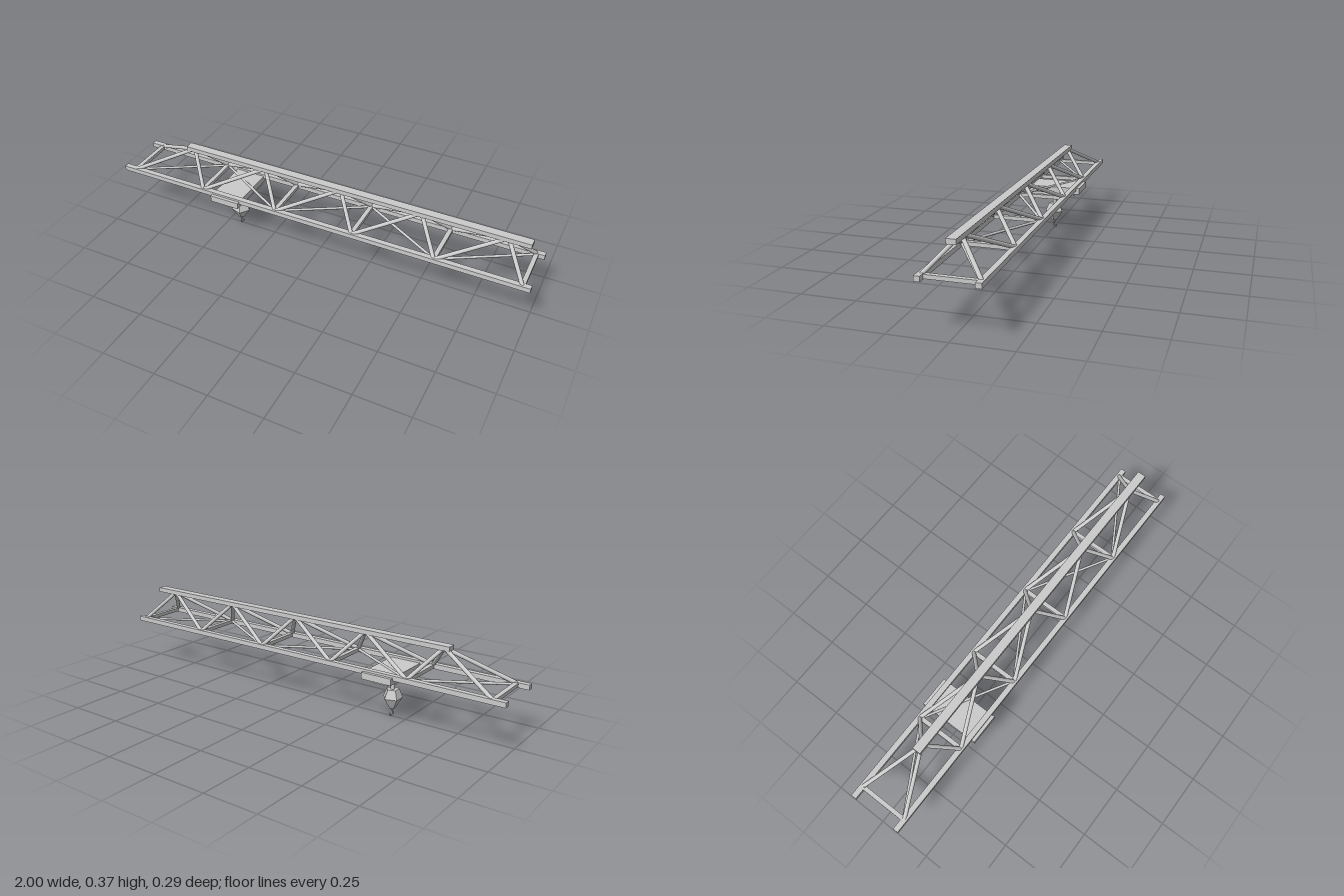
import * as THREE from 'three';

export function createModel() {
  const group = new THREE.Group();
  const smooth = new THREE.MeshStandardMaterial({ color: 0xcccccc });
  const flat = new THREE.MeshStandardMaterial({ color: 0xcccccc, flatShading: true });
  const V = (x, y, z) => new THREE.Vector3(x, y, z);
  const UP = V(0, 1, 0);

  function add(name, geometry, x = 0, y = 0, z = 0, material = flat) {
    const mesh = new THREE.Mesh(geometry, material);
    mesh.name = name;
    mesh.position.set(x, y, z);
    group.add(mesh);
    return mesh;
  }

  // Box given by its limits along each axis
  function box(name, x0, x1, y0, y1, z0, z1) {
    return add(name, new THREE.BoxGeometry(x1 - x0, y1 - y0, z1 - z0),
      (x0 + x1) / 2, (y0 + y1) / 2, (z0 + z1) / 2);
  }

  // Round bar between two points
  function bar(name, a, b, r) {
    const d = b.clone().sub(a);
    const mesh = add(name, new THREE.CylinderGeometry(r, r, d.length(), 16), 0, 0, 0, smooth);
    mesh.position.copy(a).add(b).multiplyScalar(0.5);
    mesh.quaternion.setFromUnitVectors(UP, d.normalize());
    return mesh;
  }

  // Three long chords of the triangular truss
  for (const s of [-1, 1]) {
    box(s > 0 ? 'frontLowerChord' : 'backLowerChord', -1, 1, 0.218, 0.24, s * 0.1155 - 0.0125, s * 0.1155 + 0.0125);
  }
  box('upperChord', -0.7, 0.957, 0.353, 0.374, -0.02, 0.02);

  // Cross members, side lattice and zigzag floor bracing
  const bays = 5, pitch = 0.381, start = -0.942;
  for (let i = 0; i <= bays; i++) {
    const x = start + i * pitch;
    box('crossMember', x - 0.01, x + 0.01, 0.221, 0.238, -0.108, 0.108);
    if (i === bays) break;
    const top = V(x + 0.275, 0.361, 0);
    for (const s of [-1, 1]) {
      bar('longStrut', V(x, 0.232, s * 0.115), top, 0.009);
      bar('shortStrut', top, V(x + pitch, 0.232, s * 0.115), 0.009);
    }
    const s = i % 2 ? -1 : 1;
    bar('floorBrace', V(x, 0.23, s * 0.11), V(x + pitch, 0.23, -s * 0.11), 0.006);
  }

  // Trolley running along the lower chords
  const tx = -0.432;
  box('trolleyPlate', tx - 0.072, tx + 0.072, 0.2, 0.23, -0.143, 0.143);
  box('trolleyBase', tx - 0.036, tx + 0.036, 0.18, 0.2, -0.107, 0.107);
  bar('hoistRope', V(tx, 0.12, 0), V(tx, 0.185, 0), 0.0095);

  // Faceted hook block, closed at both ends
  const profile = [[0, 0.038], [0.013, 0.038], [0.0455, 0.088], [0.029, 0.128], [0, 0.128]]
    .map(([r, y]) => new THREE.Vector2(r, y));
  add('hookBlock', new THREE.LatheGeometry(profile, 5, Math.PI / 2), tx, 0, 0);

  // Hook: short shank curling round and ending in an open tip
  const hook = new THREE.Group();
  hook.name = 'hook';
  const points = [V(0, 0.042, 0), V(0, 0.03, 0), V(-0.003, 0.023, 0)];
  for (let i = 0; i <= 6; i++) {
    const a = Math.PI * (0.85 + i * 0.2);
    points.push(V(0.003 + 0.0085 * Math.cos(a), 0.0125 + 0.0085 * Math.sin(a), 0));
  }
  const curve = new THREE.CatmullRomCurve3(points);
  hook.add(new THREE.Mesh(new THREE.TubeGeometry(curve, 40, 0.0035, 10), smooth));
  const tip = new THREE.Mesh(new THREE.SphereGeometry(0.0035, 10, 8), smooth);
  tip.position.copy(points[points.length - 1]);
  hook.add(tip);
  hook.children[0].name = 'hookCurve';
  hook.children[1].name = 'hookTip';
  hook.position.x = tx;
  hook.rotation.y = Math.PI / 3;
  group.add(hook);

  return group;
}
